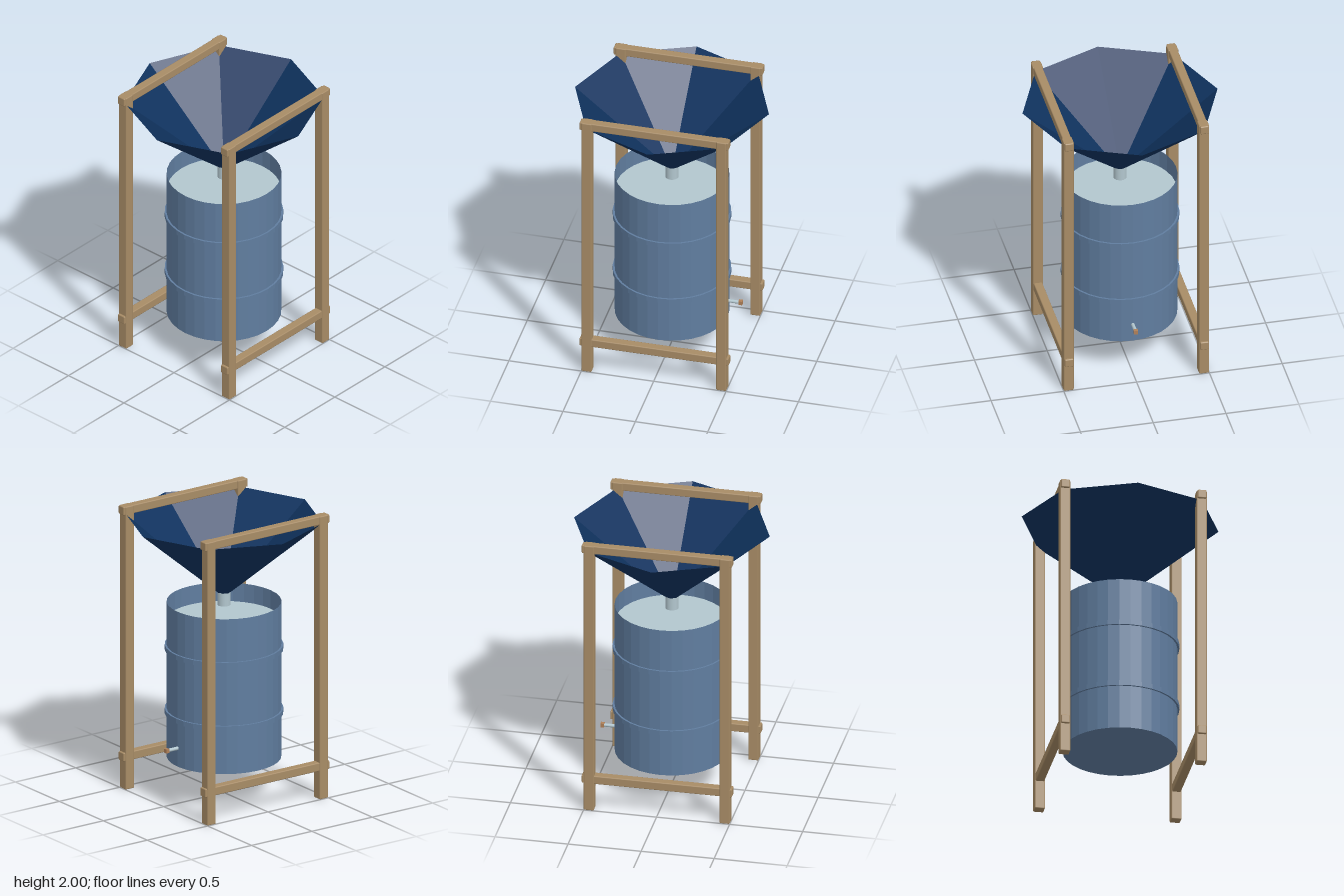
import * as THREE from 'three';
import { RoundedBoxGeometry } from 'three/addons/geometries/RoundedBoxGeometry.js';

const material = (name, color, options = {}) => {
  const m = new THREE.MeshStandardMaterial({ color, ...options });
  m.name = name;
  return m;
};

export function createModel() {
  const model = new THREE.Group();
  model.name = 'rainCollector';
  const wood = material('wood', 0xa88c66);
  const steel = material('barrelBlue', 0x607d9f, { flatShading: true, side: THREE.DoubleSide });
  const tarp = material('funnelNavy', 0x0f325e, { flatShading: true, side: THREE.DoubleSide });
  const pale = material('paleGrey', 0xb2c6ce);
  const copper = material('copper', 0xb08058);

  const add = (name, geometry, mat, x, y, z) => {
    const mesh = new THREE.Mesh(geometry, mat);
    mesh.name = name;
    mesh.position.set(x, y, z);
    model.add(mesh);
    return mesh;
  };

  // Wooden frame: four posts, with upper and lower beams front and back
  const post = new RoundedBoxGeometry(0.07, 2, 0.07, 1, 0.007);
  const beam = new RoundedBoxGeometry(1.03, 0.06, 0.06, 1, 0.007);
  for (const z of [-0.465, 0.465]) {
    for (const x of [-0.465, 0.465]) add('post', post, wood, x, 1, z);
    add('upperBeam', beam, wood, 0, 1.97, z);
    add('lowerBeam', beam, wood, 0, 0.23, z);
  }

  // Open barrel with a closed base and two raised hoops
  add('barrelWall', new THREE.CylinderGeometry(0.385, 0.385, 1.095, 32, 1, true), steel, 0, 0.8075, 0);
  const base = add('barrelBase', new THREE.CircleGeometry(0.385, 32), steel, 0, 0.26, 0);
  base.rotation.x = Math.PI / 2;
  const hoopProfile = [[0.384, -0.017], [0.398, -0.017], [0.398, 0.017], [0.384, 0.017]]
    .map(([r, y]) => new THREE.Vector2(r, y));
  const hoop = new THREE.LatheGeometry(hoopProfile, 32);
  for (const y of [0.585, 1.035]) add('barrelHoop', hoop, steel, 0, y, 0);

  // Water surface inside the barrel
  const water = add('water', new THREE.CircleGeometry(0.383, 32), pale, 0, 1.225, 0);
  water.rotation.x = -Math.PI / 2;

  // Eight-sided funnel and its spout
  add('funnel', new THREE.CylinderGeometry(0.67, 0.045, 0.52, 8, 1, true), tarp, 0, 1.68, 0);
  add('spout', new THREE.CylinderGeometry(0.045, 0.045, 0.095, 16), pale, 0, 1.3775, 0);

  // Tap on the left side of the barrel
  const tap = add('tapPipe', new THREE.CylinderGeometry(0.012, 0.012, 0.1, 12), pale, 0.42, 0.39, 0);
  tap.rotation.z = Math.PI / 2;
  add('tapHandle', new THREE.BoxGeometry(0.025, 0.028, 0.028), copper, 0.475, 0.39, 0);

  return model;
}
